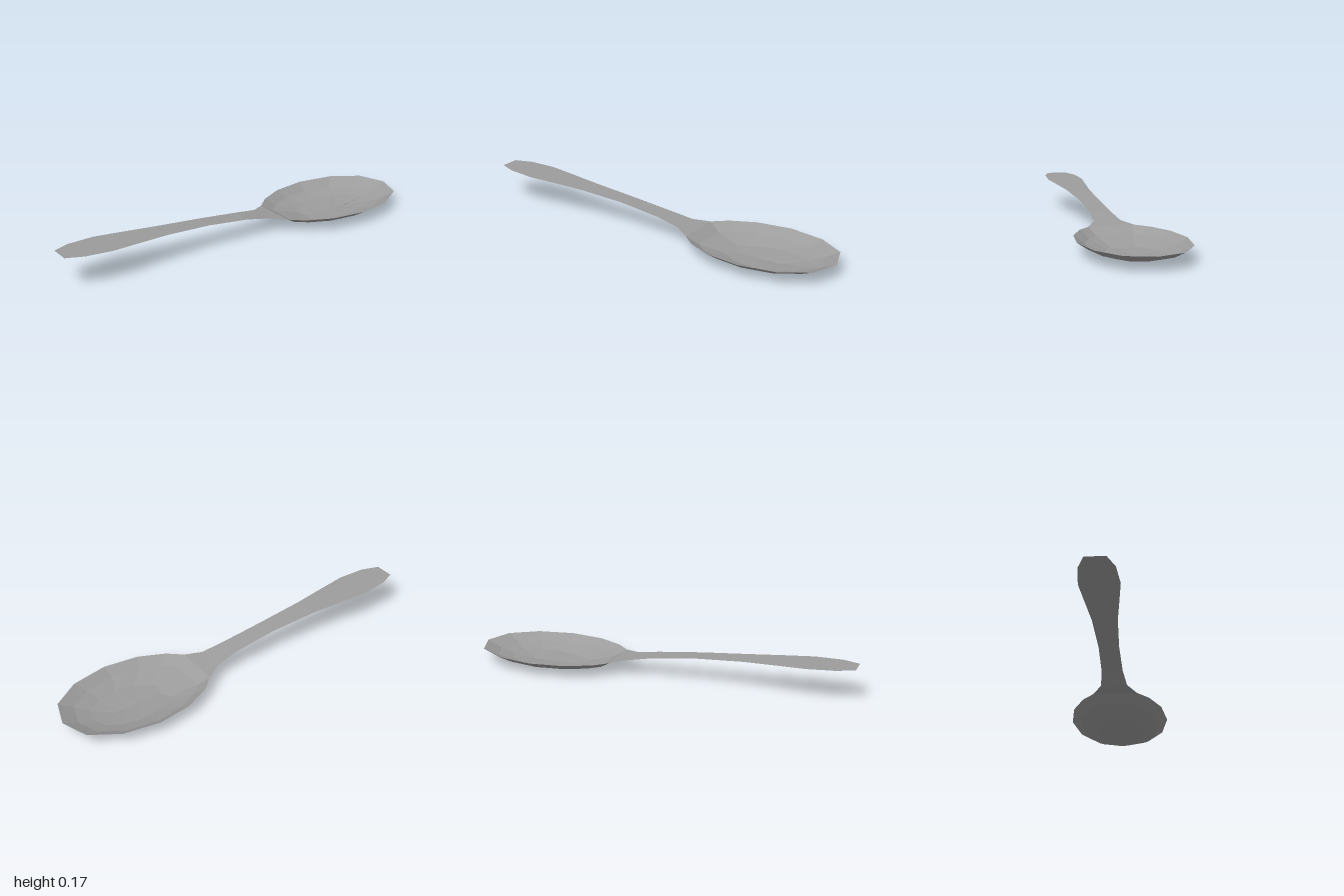
import * as THREE from 'three';

const steel = new THREE.MeshStandardMaterial({ color: 0x9c9c9c, side: THREE.DoubleSide, flatShading: true });
steel.name = 'steel';

// Joins matching rows of points into a faceted sheet that faces up
function loft(name, rows, closed) {
  const positions = [];
  const n = rows[0].length;
  for (let r = 0; r < rows.length - 1; r++) {
    for (let i = 0; i < (closed ? n : n - 1); i++) {
      const j = (i + 1) % n;
      const a = rows[r][i], b = rows[r][j], c = rows[r + 1][i], d = rows[r + 1][j];
      positions.push(...a, ...c, ...b);
      if (c[0] !== d[0] || c[2] !== d[2]) positions.push(...b, ...c, ...d);
    }
  }
  const geometry = new THREE.BufferGeometry();
  geometry.setAttribute('position', new THREE.Float32BufferAttribute(positions, 3));
  geometry.computeVertexNormals();
  const mesh = new THREE.Mesh(geometry, steel);
  mesh.name = name;
  return mesh;
}

export function createModel() {
  const spoon = new THREE.Group();
  spoon.name = 'spoon';

  // Bowl rim, half outline [x, z] from the tip to the handle, then mirrored
  const half = [[0, -1], [0.14, -0.95], [0.23, -0.81], [0.264, -0.62], [0.238, -0.44], [0.177, -0.31], [0.115, -0.24]];
  const rim = [...half, ...half.slice(1).reverse().map(([x, z]) => [-x, z])];

  // Rings shrinking down to a short keel: x scale, z scale, z centre, y, tilt
  const rings = [
    [1, 1, -0.62, 0.072, 0],
    [0.8, 0.815, -0.61, 0.037, 0],
    [0.49, 0.53, -0.64, 0.011, -0.032],
    [0, 0.34, -0.59, 0, 0],
  ].map(([sx, sz, cz, y, tilt]) => rim.map(([x, z]) => {
    const dz = (z + 0.62) * sz;
    return [x * sx, y + dz * tilt, cz + dz];
  }));
  spoon.add(loft('bowl', rings, true));

  // Handle stations: half width, y, z from the bowl to the end
  const handle = [
    [0.115, 0.072, -0.24], [0.068, 0.083, -0.16], [0.054, 0.105, -0.03], [0.051, 0.131, 0.2],
    [0.062, 0.149, 0.45], [0.081, 0.158, 0.62], [0.097, 0.165, 0.77], [0.085, 0.17, 0.91], [0.05, 0.172, 1],
  ].map(([w, y, z]) => [[-w, y, z], [w, y, z]]);
  spoon.add(loft('handle', handle, false));

  return spoon;
}
